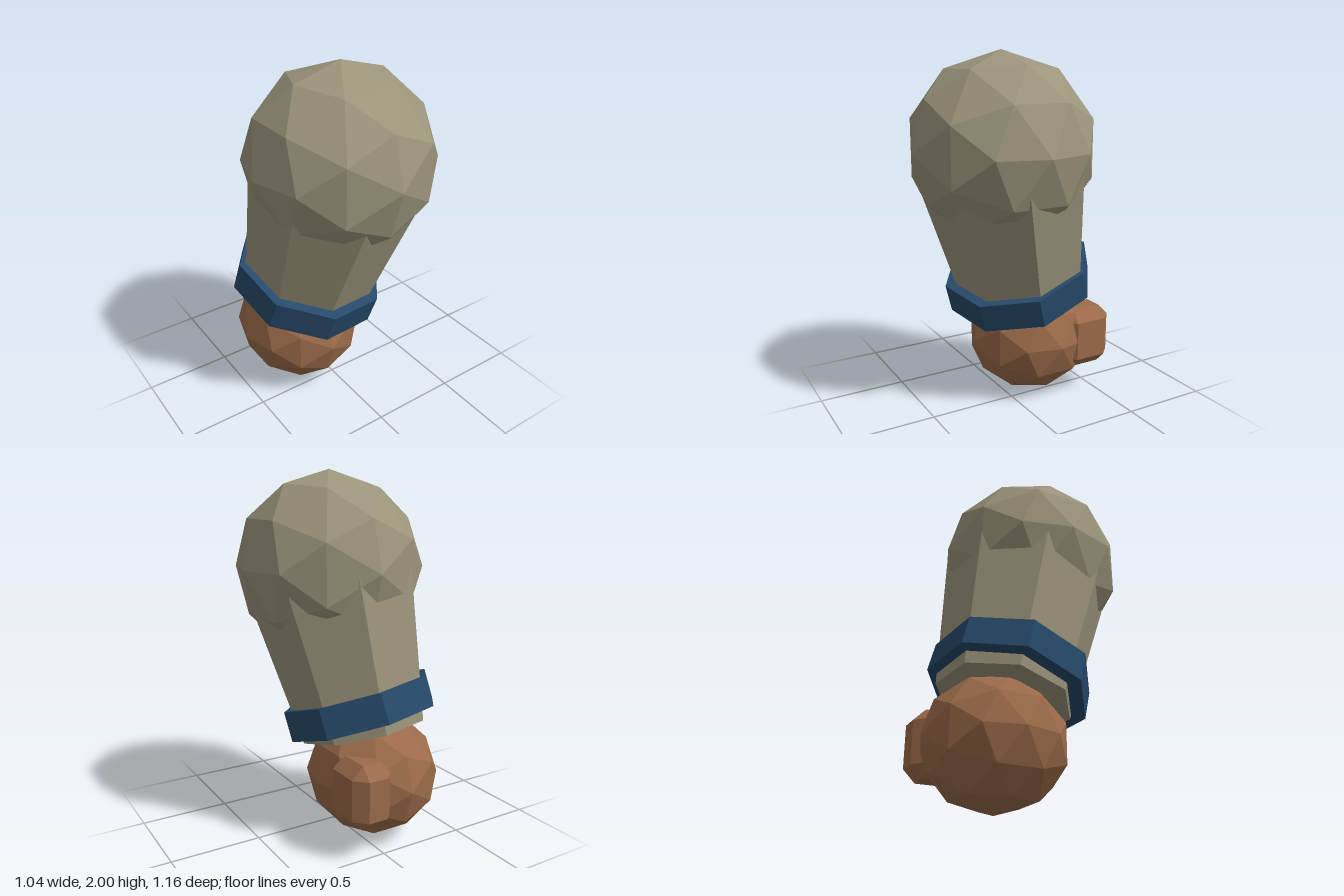
import * as THREE from 'three';
import { ConvexGeometry } from 'three/addons/geometries/ConvexGeometry.js';

const paint = (color) => new THREE.MeshStandardMaterial({ color, flatShading: true });
const cloth = paint(0x9c957c);
const navy = paint(0x264a6b);
const skin = paint(0x9c6b4a);

function add(group, name, geometry, material) {
  const mesh = new THREE.Mesh(geometry, material);
  mesh.name = name;
  group.add(mesh);
  return mesh;
}

// Low-poly ball stretched to the given radii
function ball(radii, center) {
  return new THREE.IcosahedronGeometry(1, 1).scale(...radii).translate(...center);
}

// Eight-sided tapered tube between two points, with a small twist about its axis
function limb(top, bottom, topRadius, bottomRadius) {
  const a = new THREE.Vector3(...top);
  const b = new THREE.Vector3(...bottom);
  const axis = a.clone().sub(b);
  const geometry = new THREE.CylinderGeometry(topRadius, bottomRadius, axis.length(), 8);
  geometry.rotateY(THREE.MathUtils.degToRad(-14));
  const turn = new THREE.Quaternion().setFromUnitVectors(new THREE.Vector3(0, 1, 0), axis.normalize());
  geometry.applyQuaternion(turn);
  const mid = a.add(b).multiplyScalar(0.5);
  return geometry.translate(mid.x, mid.y, mid.z);
}

// Box with every edge and corner cut flat
function chamferBox(w, h, d, cut) {
  const half = [w / 2, h / 2, d / 2];
  const points = [];
  for (const sx of [-1, 1]) for (const sy of [-1, 1]) for (const sz of [-1, 1]) {
    const sign = [sx, sy, sz];
    for (let full = 0; full < 3; full++) {
      points.push(new THREE.Vector3(...half.map((s, i) => sign[i] * (i === full ? s : s - cut))));
    }
  }
  return new ConvexGeometry(points);
}

export function createModel() {
  const arm = new THREE.Group();
  arm.name = 'arm';

  // Sleeve
  add(arm, 'shoulder', ball([0.515, 0.515, 0.515], [0.003, 1.485, 0.065]), cloth);
  add(arm, 'sleeve', limb([-0.003, 1.44, 0.055], [-0.105, 0.59, -0.145], 0.485, 0.36), cloth);

  // Cuff band, tilted a little more than the sleeve
  add(arm, 'cuff', limb([-0.088, 0.79, -0.081], [-0.112, 0.63, -0.129], 0.43, 0.43), navy);

  // Hand
  add(arm, 'fist', ball([0.358, 0.35, 0.385], [-0.117, 0.352, -0.2]), skin);
  const thumb = add(arm, 'thumb', chamferBox(0.24, 0.355, 0.315, 0.065), skin);
  thumb.position.set(0.09, 0.356, -0.418);

  return arm;
}
